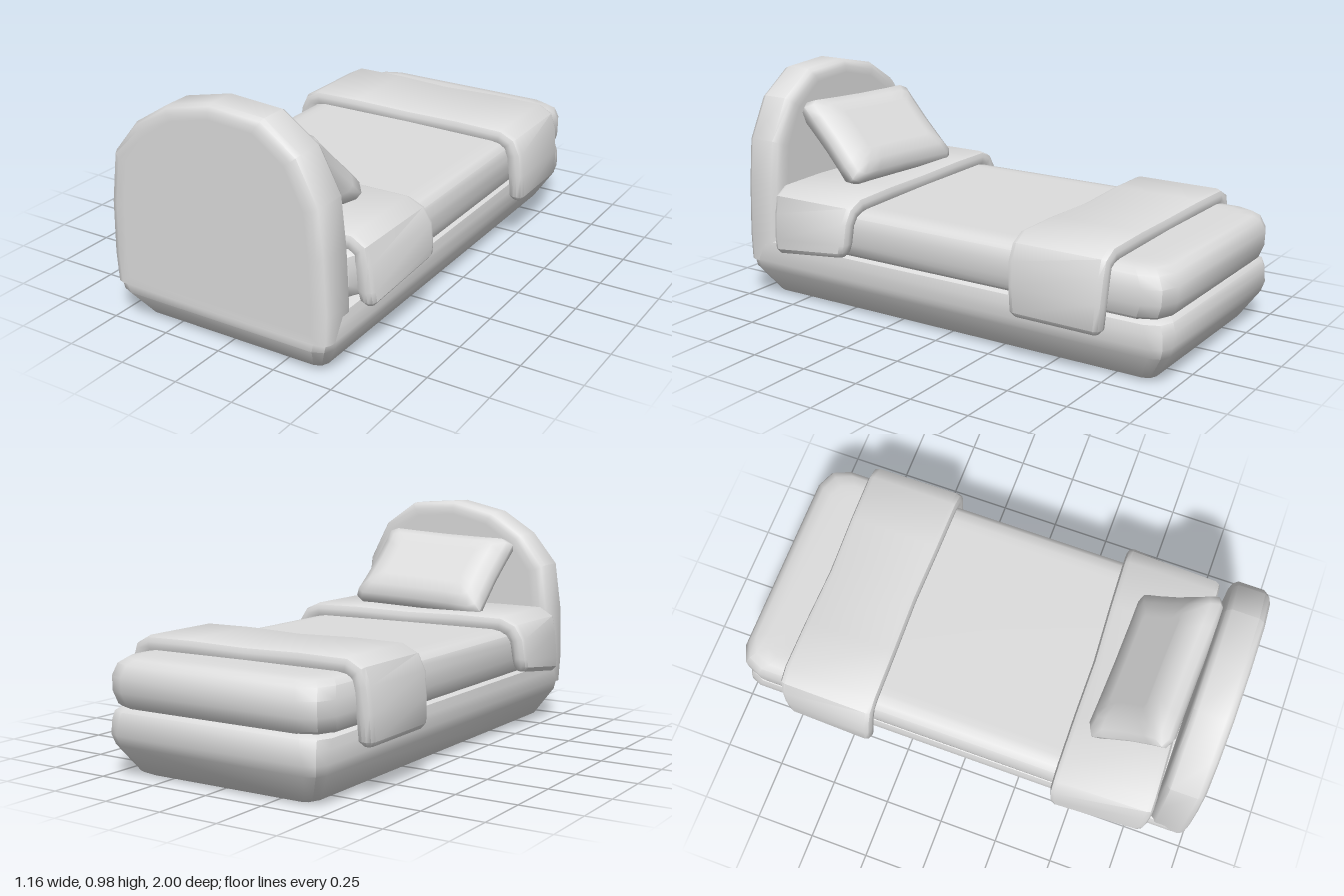
import * as THREE from 'three';
import { toCreasedNormals } from 'three/addons/utils/BufferGeometryUtils.js';

// Skin a list of equally long rings of Vector3, close both ends with fans
function loft(sections, crease = 0.7) {
  const centre = r => r.reduce((s, p) => s.add(p), new THREE.Vector3()).divideScalar(r.length);
  // An extra inner ring at each end keeps the flat faces evenly shaded
  const inner = r => r.map(p => p.clone().lerp(centre(r), 0.08));
  const rings = [inner(sections[0]), ...sections, inner(sections[sections.length - 1])];
  const n = rings[0].length, pos = [], idx = [];
  rings.forEach(r => r.forEach(p => pos.push(p.x, p.y, p.z)));
  for (let i = 0; i < rings.length - 1; i++) {
    for (let j = 0; j < n; j++) {
      const a = i * n + j, b = i * n + (j + 1) % n;
      idx.push(a, b, b + n, a, b + n, a + n);
    }
  }
  [0, rings.length - 1].forEach((k, end) => {
    const c = centre(rings[k]), ci = pos.length / 3;
    pos.push(c.x, c.y, c.z);
    for (let j = 0; j < n; j++) {
      const a = k * n + j, b = k * n + (j + 1) % n;
      idx.push(ci, end ? a : b, end ? b : a);
    }
  });
  // Turn the faces outward when the enclosed volume is negative
  const at = i => new THREE.Vector3().fromArray(pos, i * 3);
  let volume = 0;
  for (let t = 0; t < idx.length; t += 3) {
    volume += at(idx[t]).dot(at(idx[t + 1]).cross(at(idx[t + 2])));
  }
  if (volume < 0) idx.reverse();
  const g = new THREE.BufferGeometry();
  g.setAttribute('position', new THREE.Float32BufferAttribute(pos, 3));
  g.setIndex(idx);
  return toCreasedNormals(g, crease);
}

// Rectangle with cut corners as [u, v] pairs
function rect(u0, u1, v0, v1, c) {
  return [
    [u0 + c, v0], [u1 - c, v0], [u1 - c * 0.3, v0 + c * 0.3], [u1, v0 + c],
    [u1, v1 - c], [u1 - c * 0.3, v1 - c * 0.3], [u1 - c, v1], [u0 + c, v1],
    [u0 + c * 0.3, v1 - c * 0.3], [u0, v1 - c], [u0, v0 + c], [u0 + c * 0.3, v0 + c * 0.3],
  ];
}

// Stack of rounded slabs: rows of [y, halfWidth, zBack, zFront, corner]
function slab(rows) {
  return loft(rows.map(([y, h, z0, z1, c]) =>
    rect(-h, h, z0, z1, c).map(([x, z]) => new THREE.Vector3(x, y, z))));
}

// Blanket draped across the bed, hanging down at both sides;
// slope tilts the hem, flare narrows the sides along z, skew slants the front edge
function drape(z0, z1, hem, slope, flare, skew) {
  const half = [ // x, y, normal x, normal y, thickness, z inset
    [0.532, hem, 1, 0, 0.035, 0.03], [0.532, hem + 0.02, 1, 0, 0.066, 0.012],
    [0.528, 0.32, 1, 0, 0.07, 0.005], [0.518, 0.41, 0.97, 0.24, 0.07, 0],
    [0.5, 0.46, 0.75, 0.66, 0.07, 0], [0.455, 0.482, 0.2, 0.98, 0.07, 0],
    [0.25, 0.484, 0, 1, 0.07, 0.003],
  ];
  const mirrored = half.map(([x, y, nx, ...rest]) => [-x, y, -nx, ...rest]);
  const path = [...mirrored, [0, 0.478, 0, 1, 0.07, 0.01], ...half.reverse()];
  const mid = (z0 + z1) / 2;
  return loft(path.map(([x, y, nx, ny, t, inset]) => {
    const hang = THREE.MathUtils.clamp((0.48 - y) / 0.2, 0, 1);
    const corner = Math.min(0.025, t * 0.4);
    return rect(-t / 2, t / 2, z0 + inset, z1 - inset, corner).map(([d, z]) => new THREE.Vector3(
      x + nx * d - Math.sign(x) * flare * (z - mid) * Math.min(1, hang * 3),
      y + ny * d + slope * (z - mid) * hang,
      z + skew * x * Math.abs(z - mid) / (z1 - mid)));
  }));
}

export function createModel() {
  const bed = new THREE.Group();
  bed.name = 'bed';
  const grey = new THREE.MeshStandardMaterial({ color: 0xdddddd });
  grey.name = 'light grey';
  const add = (name, geometry) => {
    const m = new THREE.Mesh(geometry, grey);
    m.name = name;
    bed.add(m);
    return m;
  };

  // Base with a tapered underside
  add('base', slab([
    [0, 0.37, -0.88, 0.88, 0.03], [0.015, 0.41, -0.91, 0.915, 0.04],
    [0.125, 0.478, -0.985, 0.997, 0.06], [0.165, 0.488, -0.997, 1, 0.06],
    [0.22, 0.492, -1, 0.985, 0.08], [0.255, 0.487, -0.988, 0.98, 0.08],
    [0.272, 0.465, -0.965, 0.96, 0.08],
  ]));

  // Mattress with rounded sides
  add('mattress', slab([
    [0.255, 0.46, -0.955, 0.85, 0.09], [0.28, 0.488, -0.98, 0.86, 0.1],
    [0.33, 0.498, -0.998, 0.86, 0.1], [0.39, 0.498, -1, 0.86, 0.1],
    [0.435, 0.487, -0.98, 0.86, 0.1], [0.455, 0.462, -0.955, 0.85, 0.1],
    [0.462, 0.42, -0.91, 0.84, 0.08],
  ]));

  // Arched headboard, bevelled on both faces, rising out of the base
  const outline = [
    [-0.486, 0.16], [-0.494, 0.28], [-0.488, 0.5], [-0.46, 0.7], [-0.35, 0.835],
    [-0.2, 0.93], [0, 0.976], [0.22, 0.962], [0.37, 0.86], [0.46, 0.69],
    [0.48, 0.5], [0.49, 0.28], [0.486, 0.16],
  ];
  const layers = [[0.832, 0.04], [0.842, 0.014], [0.862, 0], [0.97, 0], [0.99, 0.012], [1, 0.036]];
  add('headboard', loft(layers.map(([z, inset]) => outline.map(([x, y]) => {
    const up = (y - 0.16) / 0.816;
    return new THREE.Vector3(x * (1 - inset / 0.49), y - inset * 0.75 * up, z);
  }))));

  // Blankets at the head and the foot
  add('headBlanket', drape(0.4, 0.82, 0.262, -0.14, 0.08, -0.03));
  add('footBlanket', drape(-0.778, -0.37, 0.2, 0.02, -0.03, 0));

  // Plump pillow leaning on the headboard, fuller at the back
  const pillowLayers = [[-0.068, 0.5], [-0.06, 0.72], [-0.035, 0.92], [0, 1],
    [0.03, 0.97], [0.075, 0.82], [0.11, 0.6], [0.125, 0.4]];
  const edge = [];
  const corners = [[-1, -1], [1, -1], [1, 1], [-1, 1]];
  corners.forEach(([sx, sy], i) => {
    const [tx, ty] = corners[(i + 1) % 4];
    for (const t of [0.05, 0.2, 0.5, 0.8, 0.95]) {
      const bow = 1 - 0.03 * Math.sin(t * Math.PI);
      edge.push([(sx + (tx - sx) * t) * bow * 0.328, (sy + (ty - sy) * t) * bow * 0.215]);
    }
  });
  const pillow = add('pillow', loft(pillowLayers.map(([z, s]) =>
    edge.map(([x, y]) => new THREE.Vector3(x * (0.3 + 0.7 * s), y * s, z))), 1.2));
  pillow.position.set(0, 0.668, 0.655);
  pillow.rotation.set(Math.PI / 4, 0, 0.06);

  return bed;
}
